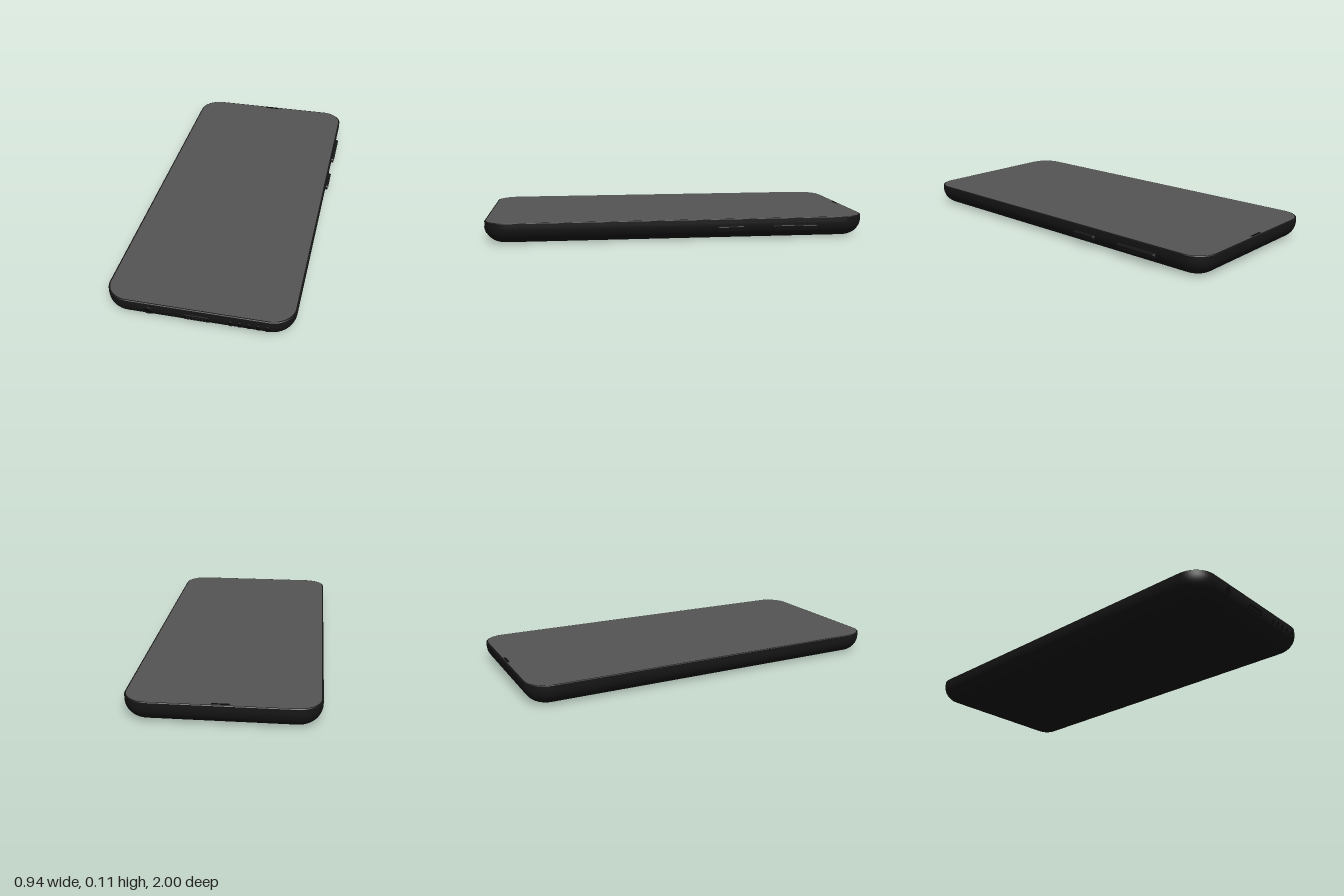
import * as THREE from 'three';

const CX = -0.006, HALF_W = 0.463, HALF_L = 0.998, CORNER = 0.118;
const CURVE_IN = 0.09, CURVE_UP = 0.088; // elliptical curve of the back edge

const bodyMat = new THREE.MeshStandardMaterial({ color: 0x161616 });
const screenMat = new THREE.MeshStandardMaterial({ color: 0x555555 });
const portMat = new THREE.MeshStandardMaterial({ color: 0x0a0a0a });

// how far the side surface lies inside the outline at height y
function insetAt(y) {
  const k = Math.max(0, (CURVE_UP - y) / CURVE_UP);
  return CURVE_IN * (1 - Math.sqrt(1 - k * k));
}

// tilt of the side surface at height y
function tiltAt(y) {
  return Math.atan((insetAt(y - 0.001) - insetAt(y + 0.001)) / 0.002);
}

// rounded-rectangle outline, inset by d
function outline(d, y, steps = 14) {
  const r = CORNER - d, pts = [];
  for (let c = 0; c < 4; c++) {
    const sx = c === 0 || c === 3 ? 1 : -1, sz = c < 2 ? 1 : -1;
    for (let i = 0; i <= steps; i++) {
      const a = (c + i / steps) * Math.PI / 2;
      pts.push([CX + sx * (HALF_W - CORNER) + r * Math.cos(a), y,
        sz * (HALF_L - CORNER) + r * Math.sin(a)]);
    }
  }
  return pts;
}

// skin over outlines listed from bottom to top; a repeated ring makes a sharp edge
function loft(rings, capBottom, capTop) {
  const pos = [], idx = [];
  const loops = rings.map(([d, y]) => outline(d, y));
  const n = loops[0].length;
  loops.forEach(l => l.forEach(p => pos.push(...p)));
  for (let j = 0; j < rings.length - 1; j++) {
    if (rings[j][0] === rings[j + 1][0] && rings[j][1] === rings[j + 1][1]) continue;
    for (let i = 0; i < n; i++) {
      const k = (i + 1) % n, a = j * n + i, b = j * n + k;
      idx.push(a, a + n, b + n, a, b + n, b);
    }
  }
  const cap = (ring, up) => {
    const base = pos.length / 3;
    outline(...ring).forEach(p => pos.push(...p));
    pos.push(CX, ring[1], 0);
    for (let i = 0; i < n; i++) {
      const k = (i + 1) % n;
      idx.push(base + n, base + (up ? k : i), base + (up ? i : k));
    }
  };
  if (capBottom) cap(rings[0], false);
  if (capTop) cap(rings[rings.length - 1], true);
  const g = new THREE.BufferGeometry();
  g.setAttribute('position', new THREE.Float32BufferAttribute(pos, 3));
  g.setIndex(idx);
  g.computeVertexNormals();
  return g;
}

// rounded slot outline, w by h
function slot(w, h, r, Type = THREE.Shape) {
  const s = new Type(), x = w / 2 - r, y = h / 2 - r;
  s.absarc(x, y, r, 0, Math.PI / 2);
  s.absarc(-x, y, r, Math.PI / 2, Math.PI);
  s.absarc(-x, -y, r, Math.PI, Math.PI * 1.5);
  s.absarc(x, -y, r, Math.PI * 1.5, Math.PI * 2);
  s.closePath();
  return s;
}

// plate reaching from inside the body to a height above its surface
function plate(shape, proud, bevel = 0) {
  const g = new THREE.ExtrudeGeometry(shape, {
    depth: 0.01 + proud - bevel, curveSegments: 8, bevelEnabled: bevel > 0,
    bevelSize: bevel, bevelThickness: bevel, bevelOffset: -bevel, bevelSegments: 3,
  });
  return g.translate(0, 0, -0.01);
}

function mesh(name, geometry, material) {
  const m = new THREE.Mesh(geometry, material);
  m.name = name;
  return m;
}

// opening on the front edge: a rim around a dark floor
function port(name, x, y, w, h, r) {
  const g = new THREE.Group();
  g.name = name;
  const t = 0.003;
  const rim = slot(w, h, r);
  rim.holes.push(slot(w - 2 * t, h - 2 * t, r - t, THREE.Path));
  g.add(mesh(name + 'Rim', plate(rim, 0.0025), bodyMat));
  g.add(mesh(name + 'Floor', plate(slot(w - t, h - t, r - t / 2), 0.001), portMat));
  g.position.set(x, y, HALF_L - insetAt(y));
  g.rotation.x = tiltAt(y);
  return g;
}

// button on the left edge between two z positions
function button(name, z0, z1, y) {
  const g = plate(slot(Math.abs(z1 - z0), 0.028, 0.012), 0.014, 0.003);
  g.rotateX(tiltAt(y)).rotateY(Math.PI / 2);
  const m = mesh(name, g, bodyMat);
  m.position.set(CX + HALF_W - insetAt(y), y, (z0 + z1) / 2);
  return m;
}

export function createModel() {
  const phone = new THREE.Group();
  phone.name = 'phone';

  // shell with curved back edges and a thin flat rim
  const rings = [];
  for (let i = 0; i <= 14; i++) {
    const a = (i / 14) * Math.PI / 2;
    rings.push([CURVE_IN * (1 - Math.sin(a)), CURVE_UP * (1 - Math.cos(a))]);
  }
  rings.push([0, 0.108], [0, 0.108], [0.003, 0.111], [0.003, 0.111], [0.01, 0.111]);
  phone.add(mesh('shell', loft(rings, true, false), bodyMat));

  // glass front
  phone.add(mesh('screen', loft([[0.008, 0.106], [0.008, 0.112]], false, true), screenMat));

  // earpiece slit at the far end of the glass
  const earpiece = mesh('earpiece', plate(slot(0.085, 0.012, 0.005), 0.001), portMat);
  earpiece.rotation.x = -Math.PI / 2;
  earpiece.position.set(-0.006, 0.112, -0.982);
  phone.add(earpiece);

  // side buttons
  phone.add(button('powerButton', -0.195, -0.34, 0.062));
  phone.add(button('volumeButton', -0.49, -0.73, 0.062));

  // headphone socket, charging port with its tongue, speaker slots
  phone.add(port('headphoneSocket', -0.242, 0.065, 0.05, 0.05, 0.0249));
  const charging = port('chargingPort', -0.006, 0.061, 0.132, 0.038, 0.015);
  charging.add(mesh('chargingTongue', plate(slot(0.096, 0.01, 0.004), 0.0025), bodyMat));
  phone.add(charging);
  for (let i = 0; i < 5; i++) {
    phone.add(port('speakerSlot' + (i + 1), 0.158 + i * 0.044, 0.061, 0.024, 0.04, 0.0118));
  }
  return phone;
}
